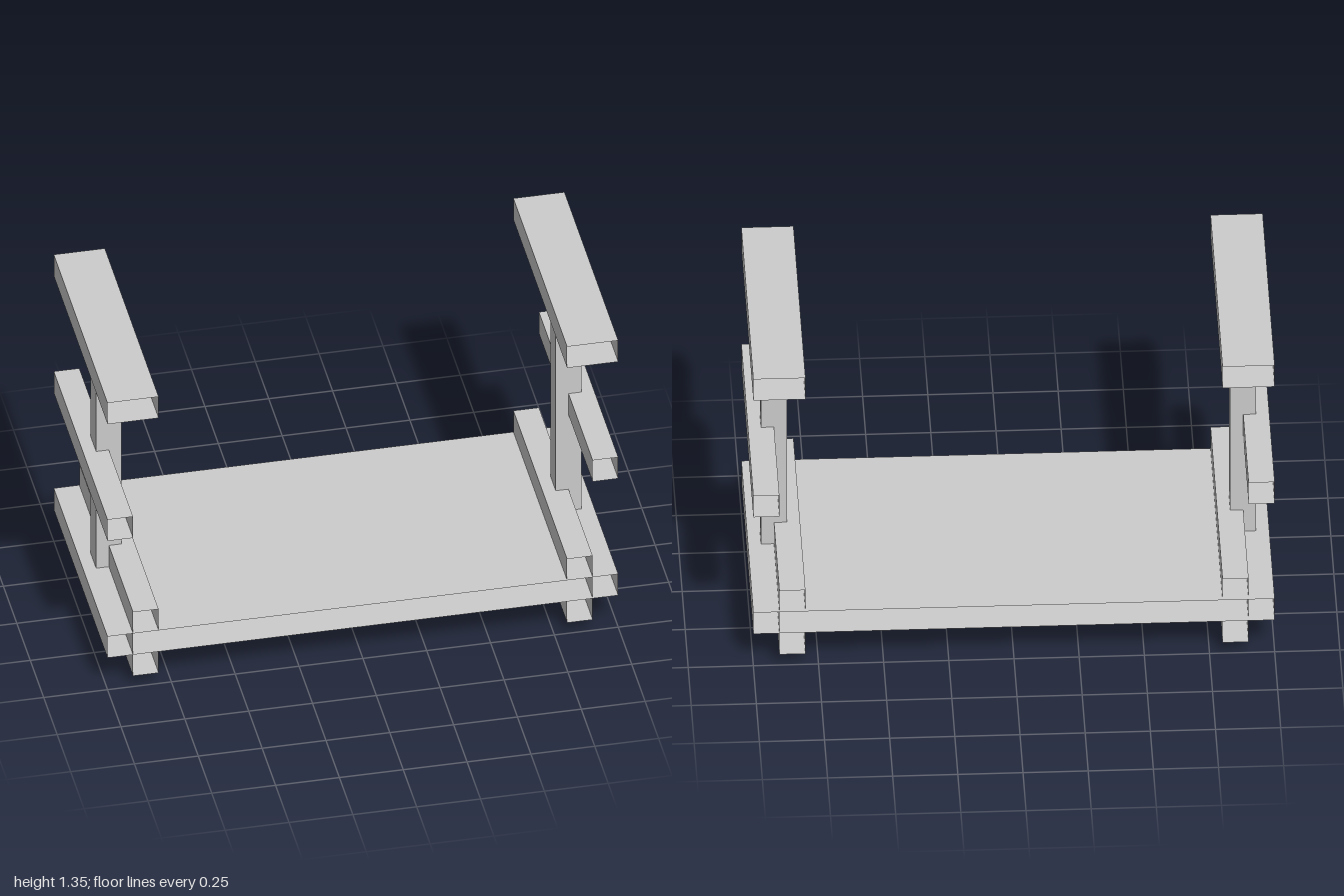
import * as THREE from 'three';

const material = new THREE.MeshStandardMaterial({ color: 0xcccccc, flatShading: true, side: THREE.DoubleSide });

// Box given by its x and y limits and its depth, centred on z = 0.
function bar(name, x0, x1, y0, y1, depth, openEnds = true) {
  const geometry = new THREE.BoxGeometry(x1 - x0, y1 - y0, depth);
  if (openEnds) {
    // Keep the four long sides only: the hollow section is open at front and back.
    geometry.setIndex(Array.from(geometry.index.array).slice(0, 24));
    geometry.clearGroups();
  }
  const mesh = new THREE.Mesh(geometry, material);
  mesh.name = name;
  mesh.position.set((x0 + x1) / 2, (y0 + y1) / 2, 0);
  return mesh;
}

export function createModel() {
  const model = new THREE.Group();
  model.name = 'benchFrame';

  // Wide hollow platform between the two ends
  model.add(bar('platform', -0.9, 0.9, 0.15, 0.25, 1));

  // Matching end frames
  for (const [label, s] of [['left', 1], ['right', -1]]) {
    const end = new THREE.Group();
    end.name = label + 'EndFrame';
    const add = (name, a, b, y0, y1, depth, open) =>
      end.add(bar(name, Math.min(s * a, s * b), Math.max(s * a, s * b), y0, y1, depth, open));

    add('post', 0.85, 0.95, 0, 1.25, 0.1, false);
    add('topRail', 0.8, 1, 1.25, 1.35, 1);
    add('middleRail', 0.9, 1, 0.7, 0.8, 1);
    // Three rails gripping the platform edge
    add('upperClampRail', 0.8, 0.9, 0.25, 0.35, 1);
    add('outerClampRail', 0.9, 1, 0.15, 0.25, 1);
    add('lowerClampRail', 0.8, 0.9, 0.05, 0.15, 1);
    model.add(end);
  }
  return model;
}
